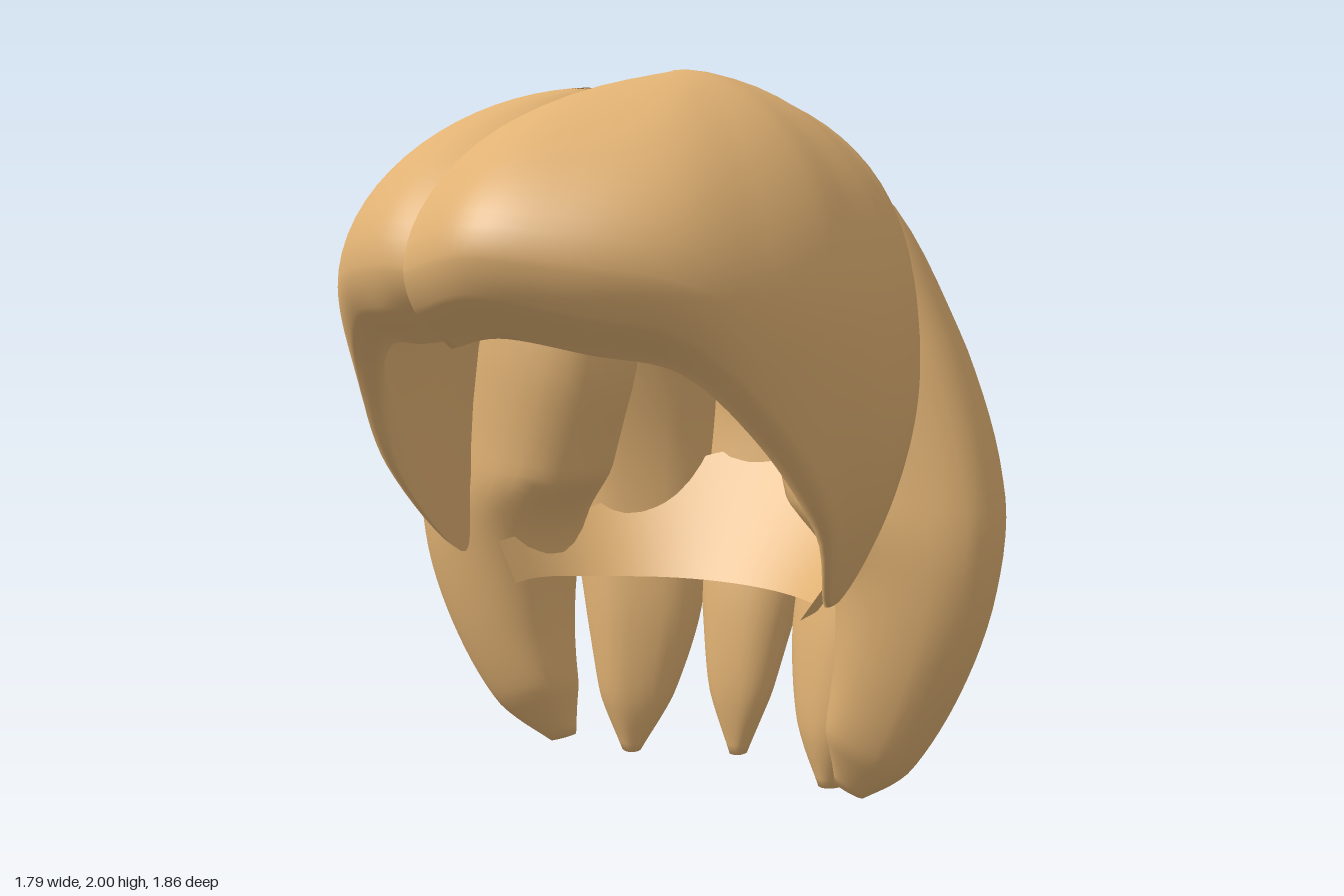
import * as THREE from 'three';
import { mergeVertices } from 'three/addons/utils/BufferGeometryUtils.js';

const V = (x, y, z) => new THREE.Vector3(x, y, z);
const hair = new THREE.MeshStandardMaterial({ color: 0xe0b173, side: THREE.DoubleSide });

// Skin a list of equally long rows of points
function skin(rows) {
  const n = rows[0].length, index = [];
  for (let i = 0; i < rows.length - 1; i++)
    for (let j = 0; j < n - 1; j++) {
      const a = i * n + j, b = a + n;
      index.push(a, b, a + 1, a + 1, b, b + 1);
    }
  let geo = new THREE.BufferGeometry().setFromPoints(rows.flat());
  geo.setIndex(index);
  geo = mergeVertices(geo, 1e-4);
  geo.computeVertexNormals();
  return geo;
}

function add(group, name, geometry, mirror = false) {
  const mesh = new THREE.Mesh(geometry, hair);
  mesh.name = name;
  if (mirror) mesh.scale.x = -1;
  group.add(mesh);
}

// Tapering lock, rounded outside and wedge-shaped inside.
// Stations are [x, y, z, halfWidth, outerDepth, innerDepth], facing outward at the given angle
function lock(stations, degrees) {
  const a = THREE.MathUtils.degToRad(degrees);
  const side = V(Math.cos(a), 0, Math.sin(a));
  const path = new THREE.CatmullRomCurve3(stations.map(s => V(s[0], s[1], s[2])));
  const size = new THREE.CatmullRomCurve3(stations.map(s => V(s[3], s[4], s[5])));
  const rows = [], steps = 44, around = 32;
  for (let i = 0; i <= steps; i++) {
    const u = i / steps, c = path.getPoint(u), s = size.getPoint(u);
    const out = side.clone().cross(path.getTangent(u)).normalize();
    const row = [];
    for (let j = 0; j <= around; j++) {
      const t = (j % around) / around * Math.PI * 2, sn = Math.sin(t), cs = Math.cos(t);
      const push = sn > 0 ? s.y * sn ** 0.8 : -s.z * Math.abs(sn) ** 1.25;
      row.push(c.clone().addScaledVector(side, s.x * Math.sign(cs) * Math.abs(cs) ** 0.78)
        .addScaledVector(out, push));
    }
    rows.push(row);
  }
  // closed ends
  rows.unshift(rows[0].map(() => path.getPoint(0)));
  rows.push(rows[0].map(() => path.getPoint(1)));
  return skin(rows);
}

// Thick swept fringe from the crown over its widest line to a rim, then back up inside
function fringe(columns, part, crownTop) {
  const wide = new THREE.CatmullRomCurve3(columns.map(c => V(c[0], c[1], c[2])));
  const edge = new THREE.CatmullRomCurve3(columns.map(c => V(c[3], c[4], c[5])));
  const rows = [], steps = 72;
  for (let i = 0; i <= steps; i++) {
    const u = i / steps, e = wide.getPoint(u), r = edge.getPoint(u);
    const crown = part.clone().lerp(crownTop, Math.sqrt(Math.max(0, Math.sin(Math.PI * u))));
    const row = [];
    const dome = (from, to, k) => {
      const p = 0.92 + 0.25 * Math.max(0, to.z);
      const s = Math.sin(k * Math.PI / 2) ** p, c = Math.max(0, Math.cos(k * Math.PI / 2)) ** p;
      return V(from.x + (to.x - from.x) * s, to.y + (from.y - to.y) * c, from.z + (to.z - from.z) * s);
    };
    for (let k = 0; k <= 18; k++) row.push(dome(crown, e, k / 18));
    const bend = V(e.x, (e.y + r.y) / 2, e.z);
    const drop = new THREE.QuadraticBezierCurve3(e, bend, r);
    for (let k = 1; k <= 8; k++) row.push(drop.getPoint(k / 8));
    // underside lip and inner wall
    const front = Math.max(0, r.z), s = 0.98 - 0.13 * front;
    const lip = V(r.x * s, r.y - 0.1 * front, r.z * s);
    for (let k = 1; k <= 3; k++) row.push(r.clone().lerp(lip, k / 3));
    const inner = crown.clone().add(V(0, -0.1, 0));
    for (let k = 9; k >= 0; k--) row.push(dome(inner, lip, k / 10));
    rows.push(row);
  }
  return skin(rows);
}

// Curved lining at the nape
function lining() {
  const rows = [];
  for (let i = 0; i <= 32; i++) {
    const t = (i / 32 - 0.5) * Math.PI, s = Math.sin(t), c = Math.cos(t), row = [];
    for (let k = 0; k <= 8; k++) {
      const v = k / 8;
      row.push(V((0.44 + 0.07 * v) * s, 0.58 + 0.03 * s ** 8 + v * (0.36 - 0.25 * s * s),
        -(0.42 + 0.24 * v) * c ** 0.8 - 0.02 * v));
    }
    rows.push(row);
  }
  return skin(rows);
}

export function createModel() {
  const group = new THREE.Group();
  group.name = 'hair';

  // Back locks
  add(group, 'centreBackLock', lock([
    [-0.03, 1.87, -0.1, 0.2, 0.06, 0.05], [-0.03, 1.81, -0.34, 0.24, 0.10, 0.08],
    [-0.03, 1.58, -0.6, 0.25, 0.12, 0.1], [-0.03, 1.15, -0.78, 0.25, 0.14, 0.11],
    [-0.03, 0.8, -0.745, 0.22, 0.14, 0.11], [-0.03, 0.45, -0.65, 0.15, 0.12, 0.09],
    [-0.03, 0.2, -0.6, 0.1, 0.08, 0.06], [-0.03, 0.005, -0.595, 0.025, 0.035, 0.03]], 0));
  const middle = lock([
    [0.08, 1.82, -0.16, 0.15, 0.08, 0.08], [0.2, 1.75, -0.36, 0.21, 0.10, 0.1],
    [0.32, 1.5, -0.54, 0.24, 0.13, 0.13], [0.38, 1.1, -0.61, 0.25, 0.16, 0.14],
    [0.36, 0.75, -0.58, 0.22, 0.15, 0.11], [0.32, 0.42, -0.52, 0.175, 0.11, 0.1],
    [0.32, 0.18, -0.48, 0.115, 0.08, 0.08], [0.335, 0.005, -0.47, 0.03, 0.04, 0.04]], 33);
  const outer = lock([
    [0.24, 1.78, -0.22, 0.13, 0.08, 0.1], [0.43, 1.63, -0.3, 0.21, 0.11, 0.25],
    [0.59, 1.27, -0.33, 0.25, 0.15, 0.4], [0.68, 0.95, -0.33, 0.26, 0.165, 0.4],
    [0.69, 0.7, -0.3, 0.24, 0.16, 0.28], [0.63, 0.42, -0.27, 0.18, 0.14, 0.2],
    [0.55, 0.2, -0.27, 0.12, 0.1, 0.15], [0.47, 0.07, -0.29, 0.035, 0.04, 0.05]], 65);
  add(group, 'leftMiddleLock', middle);
  add(group, 'rightMiddleLock', middle, true);
  add(group, 'leftOuterLock', outer);
  add(group, 'rightOuterLock', outer, true);

  // Fringe: widest point followed by rim point, from the parting round to the back
  add(group, 'leftFringe', fringe([
    [-0.14, 1.52, 0.86, -0.13, 1.42, 0.83], [0.07, 1.56, 0.93, 0.07, 1.46, 0.9],
    [0.28, 1.54, 0.88, 0.3, 1.42, 0.83], [0.5, 1.5, 0.75, 0.48, 1.37, 0.71],
    [0.63, 1.4, 0.58, 0.61, 1.2, 0.56], [0.71, 1.3, 0.37, 0.67, 0.95, 0.36],
    [0.73, 1.2, 0.15, 0.58, 0.69, 0.1], [0.73, 1.2, 0, 0.64, 0.85, -0.02],
    [0.71, 1.27, -0.1, 0.68, 1.12, -0.1], [0.6, 1.5, -0.2, 0.58, 1.38, -0.2],
    [0.2, 1.55, -0.32, 0.2, 1.48, -0.33]], V(-0.14, 1.96, -0.1), V(0.1, 2.0, 0.06)));
  add(group, 'rightFringe', fringe([
    [-0.1, 1.52, 0.85, -0.1, 1.44, 0.81], [-0.25, 1.53, 0.82, -0.25, 1.42, 0.78],
    [-0.45, 1.5, 0.7, -0.44, 1.39, 0.66], [-0.59, 1.42, 0.54, -0.57, 1.25, 0.51],
    [-0.66, 1.3, 0.34, -0.62, 0.98, 0.34], [-0.69, 1.2, 0.13, -0.56, 0.72, 0.1],
    [-0.69, 1.2, 0, -0.62, 0.87, -0.02], [-0.68, 1.27, -0.1, -0.65, 1.12, -0.1],
    [-0.58, 1.5, -0.2, -0.56, 1.38, -0.2], [-0.2, 1.55, -0.32, -0.2, 1.48, -0.33]],
    V(-0.14, 1.95, -0.1), V(-0.17, 1.97, 0.03)));

  add(group, 'napeLining', lining());
  return group;
}
